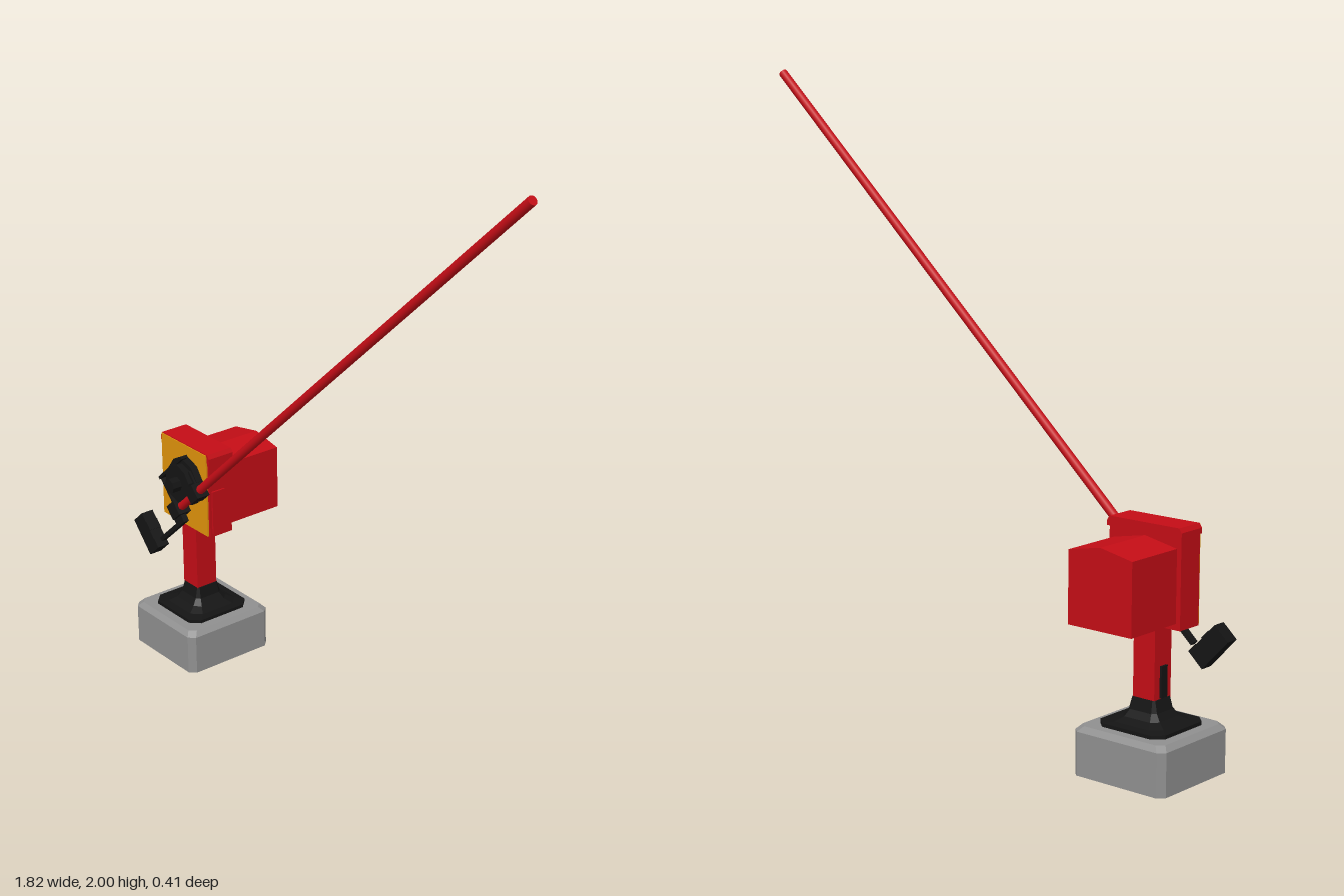
import * as THREE from 'three';

const RED = 0xc40d16, BLACK = 0x141414, AMBER = 0xe0930c, GREY = 0x909090;
const CX = -0.7, CZ = 0.043; // axis of the post
const ARM_Z = 0.13, ARM_ANGLE = Math.atan2(1.43, 1.56);

function mat(color, flat = true) {
  return new THREE.MeshStandardMaterial({ color, flatShading: flat });
}

function add(parent, name, geometry, color, x = 0, y = 0, z = 0, flat = true) {
  const mesh = new THREE.Mesh(geometry, mat(color, flat));
  mesh.name = name;
  mesh.position.set(x, y, z);
  parent.add(mesh);
  return mesh;
}

// Box given by its limits
function block(parent, name, color, x0, x1, y0, y1, z0, z1) {
  return add(parent, name, new THREE.BoxGeometry(x1 - x0, y1 - y0, z1 - z0), color,
    (x0 + x1) / 2, (y0 + y1) / 2, (z0 + z1) / 2);
}

// Stack of corner-cut squares; each section is [y, half width, corner cut]
function squareLoft(sections) {
  const pos = [], idx = [];
  for (const [y, h, c] of sections) {
    const k = h - c;
    for (const [x, z] of [[h, -k], [h, k], [k, h], [-k, h], [-h, k], [-h, -k], [-k, -h], [k, -h]]) {
      pos.push(x, y, z);
    }
  }
  for (let s = 0; s < sections.length - 1; s++) {
    for (let i = 0; i < 8; i++) {
      const a = s * 8 + i, b = s * 8 + (i + 1) % 8;
      idx.push(a, a + 8, b, b, a + 8, b + 8);
    }
  }
  const g = new THREE.BufferGeometry();
  g.setAttribute('position', new THREE.Float32BufferAttribute(pos, 3));
  g.setIndex(idx);
  g.computeVertexNormals();
  return g;
}

function extrude(points, depth) {
  const shape = new THREE.Shape(points.map(p => new THREE.Vector2(...p)));
  return new THREE.ExtrudeGeometry(shape, { depth, bevelEnabled: false });
}

export function createModel() {
  const model = new THREE.Group();
  model.name = 'crossingBarrier';

  // Hollow plinth, open below
  const base = add(model, 'plinth', squareLoft([
    [0, 0.163, 0.02], [0.132, 0.163, 0.02], [0.148, 0.148, 0.02], [0.148, 0.09, 0.02],
  ]), GREY, CX, 0, CZ);
  base.material.side = THREE.DoubleSide;

  // Flared foot and post
  const foot = add(model, 'flaredFoot', squareLoft([
    [0.147, 0.001, 0.0003], [0.147, 0.117, 0.03], [0.159, 0.117, 0.03], [0.163, 0.092, 0.03],
    [0.176, 0.066, 0.02], [0.196, 0.05, 0.012], [0.232, 0.041, 0.006], [0.232, 0.001, 0.0003],
  ]), BLACK, CX, 0, CZ);
  foot.material.side = THREE.DoubleSide;
  block(model, 'post', RED, -0.739, -0.663, 0.225, 0.47, 0.005, 0.083);
  block(model, 'cableStrip', BLACK, -0.746, -0.738, 0.235, 0.33, 0.03, 0.058);

  // Gearbox head with lid and front panel
  block(model, 'headCase', RED, -0.829, -0.575, 0.456, 0.735, 0, 0.088);
  add(model, 'headLid', extrude([
    [-0.833, 0.724], [-0.569, 0.724], [-0.569, 0.74], [-0.578, 0.753], [-0.824, 0.753], [-0.833, 0.74],
  ], 0.096), RED, 0, 0, -0.005);
  block(model, 'frontPanel', AMBER, -0.826, -0.582, 0.459, 0.75, 0.087, 0.094);
  block(model, 'sideHinge', RED, -0.576, -0.569, 0.47, 0.62, 0.03, 0.08);

  // Rear housing with a shallow ridged roof
  add(model, 'rearHousing', extrude([
    [-0.814, 0.475], [-0.59, 0.475], [-0.59, 0.692], [-0.702, 0.714], [-0.814, 0.692],
  ], 0.205), RED, 0, 0, -0.205);

  // Pivot hub
  for (const [name, r, z0, z1] of [['hubFlange', 0.082, 0.09, 0.118], ['hubDisc', 0.066, 0.118, 0.14], ['hubCap', 0.025, 0.14, 0.172]]) {
    const hub = add(model, name, new THREE.CylinderGeometry(r, r, z1 - z0, name === 'hubCap' ? 8 : 10),
      BLACK, -0.68, 0.63, (z0 + z1) / 2);
    hub.rotation.x = Math.PI / 2;
  }

  // Boom assembly: local x runs along the boom, local y across it
  const boom = new THREE.Group();
  boom.name = 'boom';
  boom.position.set(-0.69, 0.533, ARM_Z);
  boom.rotation.z = ARM_ANGLE;
  model.add(boom);
  const pole = add(boom, 'pole', new THREE.CylinderGeometry(0.0145, 0.0145, 2.14, 16), RED, 1.08, 0, 0, false);
  pole.rotation.z = -Math.PI / 2;
  for (const x of [0.0, 0.143]) {
    block(boom, 'clamp', BLACK, x - 0.025, x + 0.025, -0.025, 0.025, -0.024, 0.024);
  }

  // Carrier frame behind the pole
  block(boom, 'frameRail', BLACK, -0.03, 0.145, 0.121, 0.131, -0.025, 0.0);
  block(boom, 'frameEnd', BLACK, -0.03, -0.024, -0.02, 0.131, -0.025, -0.005);
  block(boom, 'frameSpoke', BLACK, 0.135, 0.145, 0.0, 0.075, -0.025, -0.005);

  // Counterweight on its rod
  block(boom, 'weightRod', BLACK, -0.17, -0.02, -0.051, -0.037, -0.01, 0.01);
  block(boom, 'rodLug', BLACK, -0.04, 0.01, -0.051, -0.02, -0.01, 0.01);
  for (let i = 0; i < 4; i++) {
    block(boom, 'counterweightPlate', BLACK, -0.244, -0.178 - (i % 2) * 0.003,
      -0.066 + i * 0.0325, -0.0335 + i * 0.0325, -0.016, 0.028).position.y -= 0.0;
  }
  boom.children.filter(c => c.name === 'counterweightPlate').forEach(c => { c.position.y -= 0.0; });
  return model;
}
